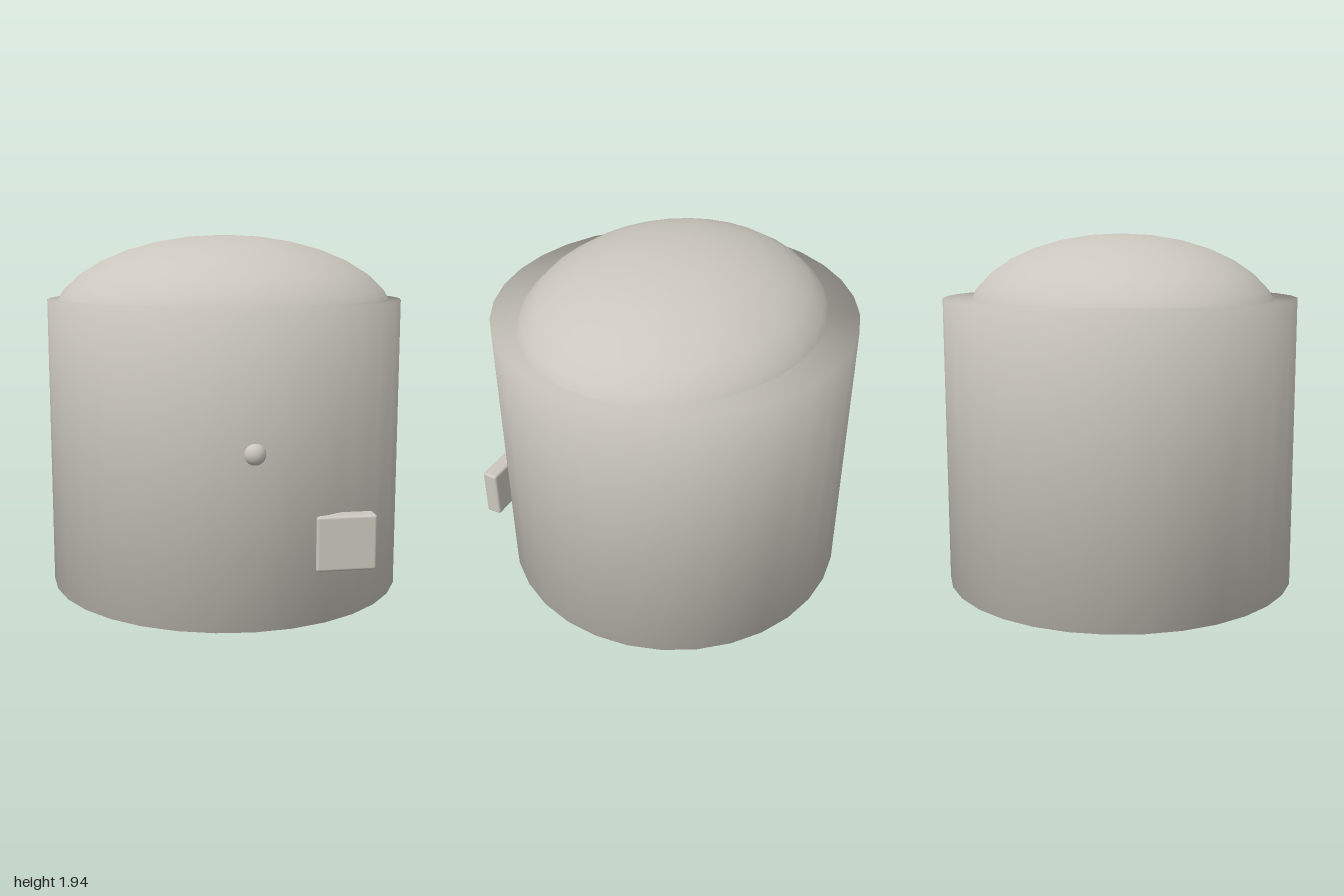
import * as THREE from 'three';
import { mergeVertices } from 'three/addons/utils/BufferGeometryUtils.js';
import { RoundedBoxGeometry } from 'three/addons/geometries/RoundedBoxGeometry.js';

// Weld all corners so shading runs smoothly across every edge
function smoothAll(geometry) {
  geometry.deleteAttribute('uv');
  geometry.deleteAttribute('normal');
  const welded = mergeVertices(geometry, 1e-4);
  welded.computeVertexNormals();
  return welded;
}

export function createModel() {
  const group = new THREE.Group();
  const paleStone = new THREE.MeshStandardMaterial({ color: 0xcbc7be });
  paleStone.name = 'paleStone';
  const centreZ = -0.018;

  function add(name, geometry, x, y, z) {
    const mesh = new THREE.Mesh(geometry, paleStone);
    mesh.name = name;
    mesh.position.set(x, y, z);
    group.add(mesh);
    return mesh;
  }

  // Round body
  const height = 1.59;
  add('body', smoothAll(new THREE.CylinderGeometry(0.982, 0.982, height, 32)), 0, height / 2, centreZ);

  // Oval domed lid, its lower part sunk into the body
  const lid = add('domedLid', new THREE.SphereGeometry(1, 32, 16), 0, 1.45, centreZ);
  lid.scale.set(0.97, 0.49, 0.845);

  // Small knob on the front
  const knob = add('frontKnob', new THREE.SphereGeometry(0.056, 16, 12), 0, 0.895, 0.95);
  knob.scale.z = 0.87;

  // Rounded plate standing off the lower front
  add('frontPlate', new RoundedBoxGeometry(0.31, 0.285, 0.09, 3, 0.015), 0.475, 0.417, 0.875);

  return group;
}
